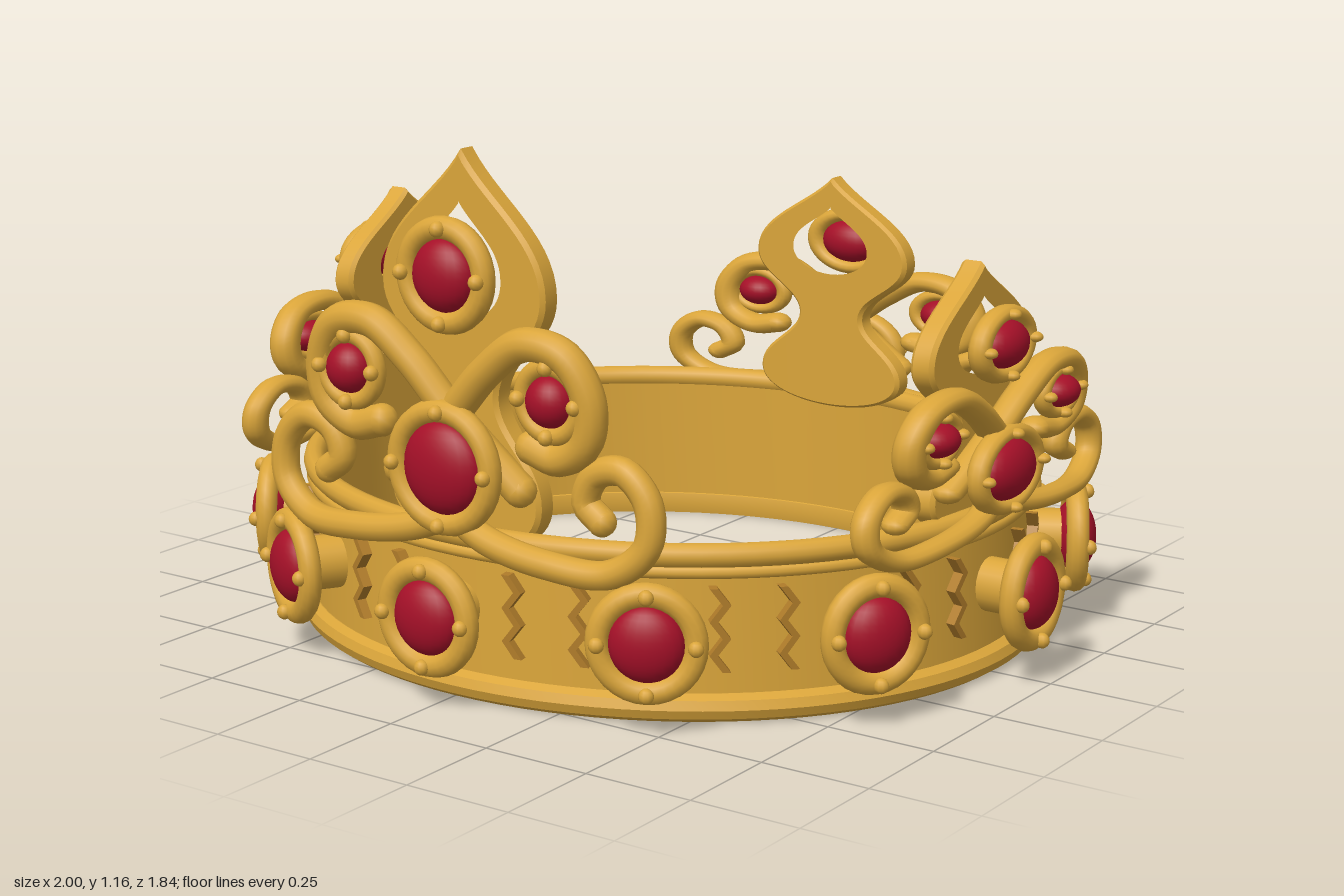
import * as THREE from 'three';
import { toCreasedNormals } from 'three/addons/utils/BufferGeometryUtils.js';

const gold = new THREE.MeshStandardMaterial({ color: 0xdaa53a });
const darkGold = new THREE.MeshStandardMaterial({ color: 0xb07c2a });
const ruby = new THREE.MeshStandardMaterial({ color: 0xa51028 });
const DEPTH = 0.92;   // the band is slightly oval
const BASE = 0.364;   // height where the ornaments sit on the band

function add(parent, name, geometry, material, x = 0, y = 0, z = 0) {
  const mesh = new THREE.Mesh(geometry, material);
  mesh.name = name;
  mesh.position.set(x, y, z);
  parent.add(mesh);
  return mesh;
}

function lathe(profile) {
  const points = [...profile, profile[0]].map(([x, y]) => new THREE.Vector2(x, y));
  return toCreasedNormals(new THREE.LatheGeometry(points, 96), 0.6);
}

// Domed stone in a round setting with four beads, facing +z
function jewel(name, r, tube) {
  const g = new THREE.Group();
  g.name = name;
  const R = r + tube * 0.85;
  add(g, 'stone', new THREE.SphereGeometry(r, 24, 16), ruby).scale.z = 0.05 / r;
  add(g, 'bezel', new THREE.TorusGeometry(R, tube, 12, 32), gold);
  for (let i = 0; i < 4; i++) {
    const a = i * Math.PI / 2;
    add(g, 'bead', new THREE.SphereGeometry(0.017, 10, 8), gold, R * Math.cos(a), R * Math.sin(a), tube);
  }
  return g;
}

// Half outline mirrored into a closed symmetric shape
function mirrored(half, Type) {
  const right = half.getPoints(14);
  const left = right.slice(1, -1).reverse().map(p => new THREE.Vector2(-p.x, p.y));
  return new Type([...right, ...left]);
}

function plateGeometry() {
  const outer = new THREE.Path().moveTo(0, 1.165 - BASE);
  outer.bezierCurveTo(0.07, 1.06 - BASE, 0.215, 1.0 - BASE, 0.215, 0.87 - BASE);
  outer.bezierCurveTo(0.215, 0.77 - BASE, 0.09, 0.74 - BASE, 0.09, 0.65 - BASE);
  outer.bezierCurveTo(0.09, 0.57 - BASE, 0.2, 0.53 - BASE, 0.2, 0.43 - BASE);
  outer.bezierCurveTo(0.2, 0.35 - BASE, 0.1, 0.31 - BASE, 0, 0.31 - BASE);
  const inner = new THREE.Path().moveTo(0, 1.07 - BASE);
  inner.bezierCurveTo(0.04, 1.01 - BASE, 0.115, 0.98 - BASE, 0.115, 0.9 - BASE);
  inner.bezierCurveTo(0.115, 0.84 - BASE, 0.06, 0.8 - BASE, 0, 0.8 - BASE);
  const shape = mirrored(outer, THREE.Shape);
  shape.holes.push(mirrored(inner, THREE.Path));
  const geo = new THREE.ExtrudeGeometry(shape, {
    depth: 0.038, bevelThickness: 0.009, bevelSize: 0.009, bevelOffset: -0.009, bevelSegments: 1,
  });
  return toCreasedNormals(geo.translate(0, 0, -0.019), 0.5);
}

// Round wire along a path, with rounded ends
function scroll(parent, name, points, radius, side) {
  const path = points.map(([x, y, z]) => new THREE.Vector3(side * x, y - BASE, z));
  const curve = new THREE.CatmullRomCurve3(path);
  add(parent, name, new THREE.TubeGeometry(curve, 64, radius, 12), gold);
  for (const p of [path[0], path[path.length - 1]]) {
    add(parent, name + 'End', new THREE.SphereGeometry(radius, 12, 8), gold, p.x, p.y, p.z);
  }
}

const upperScroll = [
  [-0.16, 0.47, 0.04], [0, 0.615, 0.06], [0.1, 0.72, 0.07], [0.2, 0.79, 0.075], [0.3, 0.775, 0.07],
  [0.352, 0.69, 0.06], [0.34, 0.6, 0.055], [0.27, 0.555, 0.05], [0.2, 0.57, 0.05],
];
const lowerScroll = [
  [0, 0.4, 0.06], [0.1, 0.36, 0.075], [0.25, 0.335, 0.075], [0.4, 0.335, 0.055], [0.48, 0.4, 0.04],
  [0.48, 0.49, 0.035], [0.42, 0.548, 0.035], [0.35, 0.53, 0.035], [0.325, 0.47, 0.035], [0.365, 0.435, 0.035],
];

function ornament(name, plate) {
  const g = new THREE.Group();
  g.name = name;
  add(g, 'plate', plate, gold);
  for (const side of [-1, 1]) {
    scroll(g, 'upperScroll', upperScroll, 0.036, side);
    scroll(g, 'lowerScroll', lowerScroll, 0.031, side);
    const small = jewel('sideJewel', 0.055, 0.02);
    small.position.set(side * 0.265, 0.68 - BASE, 0.07);
    g.add(small);
  }
  const top = jewel('topJewel', 0.078, 0.025);
  top.position.set(0, 0.91 - BASE, 0.075);
  const low = jewel('lowerJewel', 0.1, 0.025);
  low.position.set(0, 0.505 - BASE, 0.09);
  g.add(top, low);
  return g;
}

// Upright zigzag strip
function zigzagGeometry() {
  const n = 6;
  const edge = Array.from({ length: n }, (_, i) => [(i % 2 ? 1 : -1) * 0.014, 0.29 - i * 0.18 / (n - 1)]);
  const points = [
    ...edge.map(([x, y]) => new THREE.Vector2(x - 0.009, y)),
    ...edge.reverse().map(([x, y]) => new THREE.Vector2(x + 0.009, y)),
  ];
  return new THREE.ExtrudeGeometry(new THREE.Shape(points), { depth: 0.035, bevelEnabled: false });
}

export function createModel() {
  const crown = new THREE.Group();
  crown.name = 'crown';

  // Oval band with its rims
  const band = new THREE.Group();
  band.name = 'band';
  band.scale.z = DEPTH;
  crown.add(band);
  add(band, 'wall', lathe([[0.815, 0.03], [0.848, 0.03], [0.84, 0.36], [0.815, 0.36]]), gold);
  add(band, 'bottomRim', lathe([
    [0.81, 0], [0.855, 0], [0.87, 0.01], [0.878, 0.03], [0.87, 0.05], [0.85, 0.06], [0.81, 0.05], [0.805, 0.025],
  ]), gold);
  add(band, 'topRim', new THREE.TorusGeometry(0.835, 0.026, 12, 96), gold, 0, 0.353).rotation.x = Math.PI / 2;
  add(band, 'topBead', new THREE.TorusGeometry(0.841, 0.014, 8, 96), gold, 0, 0.318).rotation.x = Math.PI / 2;

  // Twelve jewels with two zigzags between each pair
  const zigzag = zigzagGeometry();
  for (let i = 0; i < 36; i++) {
    const spoke = new THREE.Group();
    spoke.name = 'bandSection';
    spoke.rotation.y = i * Math.PI / 18;
    band.add(spoke);
    if (i % 3 === 0) {
      const j = jewel('bandJewel', 0.082, 0.026);
      j.position.set(0, 0.197, 0.95);
      spoke.add(j);
      add(spoke, 'setting', new THREE.CylinderGeometry(0.06, 0.06, 0.11, 20), gold, 0, 0.197, 0.89).rotation.x = Math.PI / 2;
    } else {
      add(spoke, 'zigzag', zigzag, darkGold, 0, 0, 0.832);
    }
  }

  // Tall front ornament and three lower ones
  const plate = plateGeometry();
  ['front', 'left', 'back', 'right'].forEach((name, i) => {
    const o = ornament(name + 'Ornament', plate);
    const a = i * Math.PI / 2;
    const r = i % 2 ? 0.788 : 0.722;
    o.position.set(Math.sin(a) * r, BASE, Math.cos(a) * r);
    o.rotation.y = a;
    o.scale.y = i ? 0.67 : 1;
    crown.add(o);
  });
  return crown;
}
